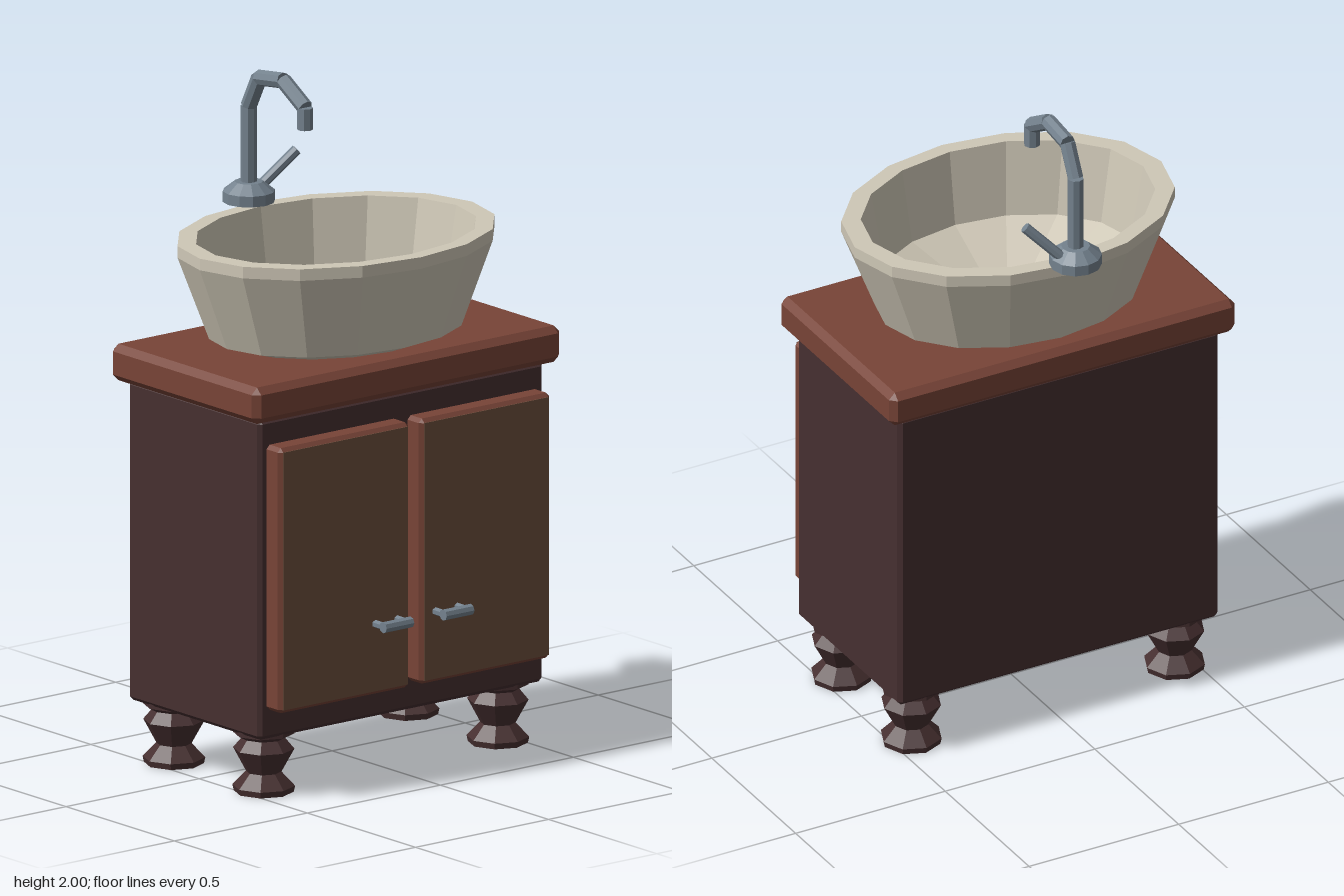
import * as THREE from 'three';
import { ConvexGeometry } from 'three/addons/geometries/ConvexGeometry.js';

const mat = (name, color) => new THREE.MeshStandardMaterial({ name, color });
const V = (x, y, z) => new THREE.Vector3(x, y, z);

// Faceted copy of a geometry
function flat(geometry) {
  const g = geometry.index ? geometry.toNonIndexed() : geometry;
  g.computeVertexNormals();
  return g;
}

// Box with every edge cut off by c
function chamferBox(w, h, d, c) {
  const [x, y, z] = [w / 2, h / 2, d / 2];
  const points = [];
  for (const i of [-1, 1]) for (const j of [-1, 1]) for (const k of [-1, 1]) {
    points.push(
      V(i * x, j * (y - c), k * (z - c)),
      V(i * (x - c), j * y, k * (z - c)),
      V(i * (x - c), j * (y - c), k * z));
  }
  return new ConvexGeometry(points);
}

export function createModel() {
  const model = new THREE.Group();
  model.name = 'washstand';
  const darkWood = mat('dark wood', 0x462f30);
  const redWood = mat('red wood', 0x784437);
  const panelWood = mat('brown panel', 0x6e4f3d);
  const ceramic = mat('ceramic', 0xcfc8b7);
  const metal = mat('metal', 0x74828e);

  function add(parent, name, geometry, material, x = 0, y = 0, z = 0) {
    const mesh = new THREE.Mesh(geometry, material);
    mesh.name = name;
    mesh.position.set(x, y, z);
    parent.add(mesh);
    return mesh;
  }

  // Straight faceted rod from a to b
  function rod(parent, name, a, b, r, sides = 8) {
    const dir = b.clone().sub(a);
    const mesh = add(parent, name, flat(new THREE.CylinderGeometry(r, r, dir.length(), sides)), metal);
    mesh.position.copy(a).lerp(b, 0.5);
    mesh.quaternion.setFromUnitVectors(V(0, 1, 0), dir.normalize());
    return mesh;
  }

  // Cabinet and counter
  add(model, 'cabinet', chamferBox(1.07, 0.965, 0.61, 0.012), darkWood, 0, 0.668, 0.017);
  add(model, 'counter', chamferBox(1.155, 0.11, 0.68, 0.02), redWood, 0, 1.205, 0.018);

  // Turned feet
  const legProfile = [[0, 0], [0.088, 0], [0.092, 0.018], [0.052, 0.06], [0.09, 0.13],
    [0.063, 0.162], [0.09, 0.176], [0.09, 0.19], [0, 0.19]].map(p => new THREE.Vector2(...p));
  const legGeometry = flat(new THREE.LatheGeometry(legProfile, 8));
  for (const x of [-0.44, 0.44]) for (const z of [0.225, -0.19]) {
    add(model, 'leg', legGeometry, darkWood, x, 0, z);
  }

  // Doors with panels and handles
  for (const s of [-1, 1]) {
    const door = new THREE.Group();
    door.name = s > 0 ? 'leftDoor' : 'rightDoor';
    add(door, 'doorFrame', chamferBox(0.49, 0.8, 0.075, 0.012), redWood, s * 0.265, 0.675, 0.3495);
    add(door, 'doorPanel', new THREE.BoxGeometry(0.468, 0.778, 0.004), panelWood, s * 0.265, 0.675, 0.387);
    const hx = s * 0.113;
    for (const e of [-0.041, 0.041]) {
      rod(door, 'handlePost', V(hx + e, 0.49, 0.38), V(hx + e, 0.49, 0.436), 0.012, 6);
    }
    rod(door, 'handleBar', V(hx - 0.052, 0.49, 0.438), V(hx + 0.052, 0.49, 0.438), 0.017, 8);
    model.add(door);
  }

  // Oval basin, open at the bottom around the drain
  const basinProfile = [[0.205, 1.261], [0.33, 1.261], [0.41, 1.285], [0.512, 1.54], [0.512, 1.575],
    [0.452, 1.575], [0.41, 1.345], [0.205, 1.266]].map(p => new THREE.Vector2(...p));
  const basin = new THREE.LatheGeometry(basinProfile, 16);
  basin.scale(1, 1, 0.77);
  add(model, 'basin', flat(basin), ceramic, 0, 0, 0.018);
  add(model, 'drain', flat(new THREE.CylinderGeometry(0.048, 0.048, 0.008, 12)), metal, 0, 1.263, 0.013);

  // Faucet
  const faucet = new THREE.Group();
  faucet.name = 'faucet';
  const baseProfile = [[0, 1.58], [0.077, 1.58], [0.077, 1.612], [0.042, 1.64], [0, 1.64]]
    .map(p => new THREE.Vector2(...p));
  add(faucet, 'faucetBase', flat(new THREE.LatheGeometry(baseProfile, 12)), metal, 0, 0, -0.385);
  const path = [[1.62, -0.385], [1.868, -0.385], [1.962, -0.337], [1.976, -0.225], [1.915, -0.125], [1.85, -0.125]]
    .map(([y, z]) => V(0, y, z));
  for (let i = 0; i < path.length - 1; i++) {
    rod(faucet, 'spout', path[i], path[i + 1], 0.024);
  }
  rod(faucet, 'lever', V(0.045, 1.613, -0.392), V(0.145, 1.72, -0.342), 0.016);
  model.add(faucet);

  return model;
}
